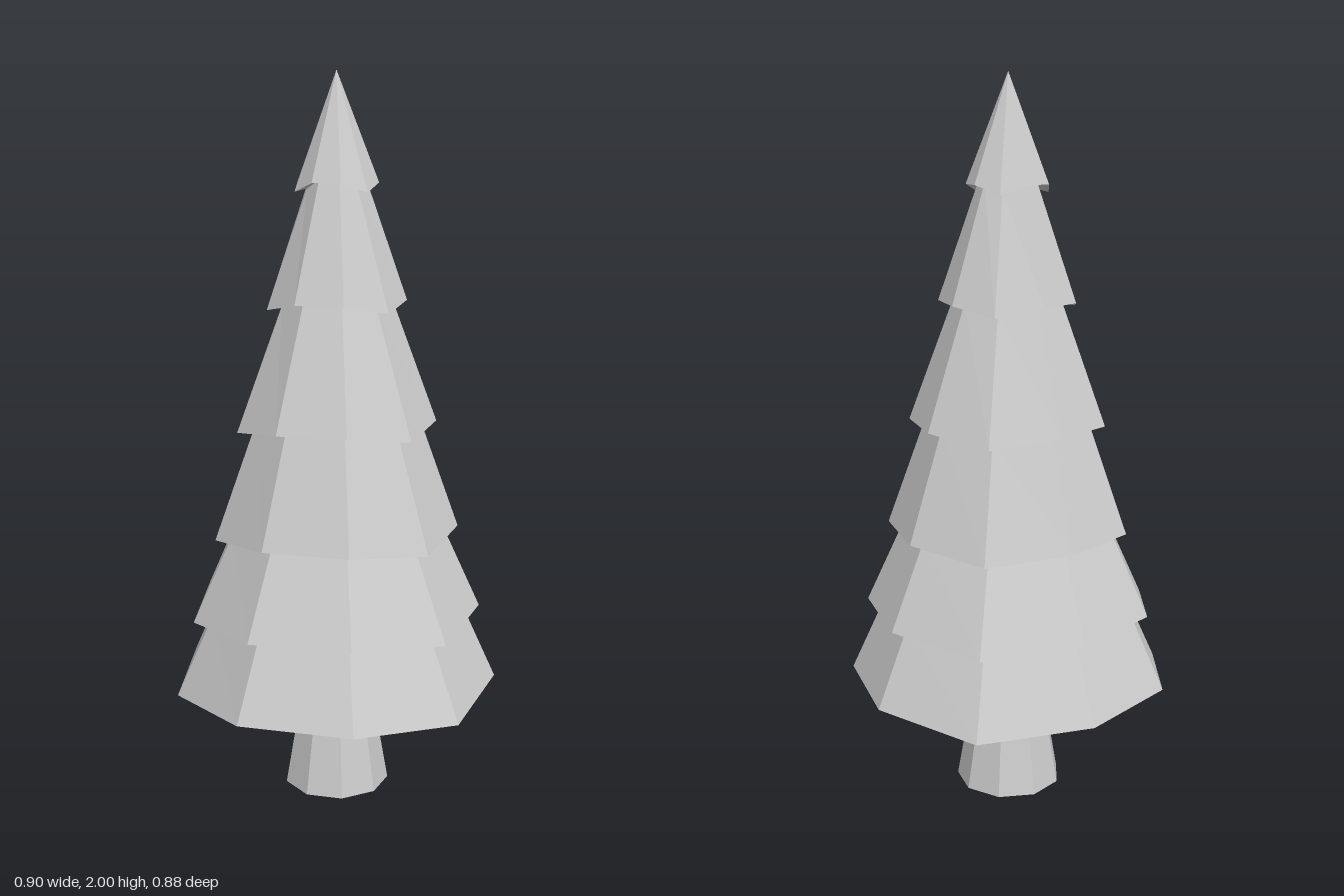
import * as THREE from 'three';

const SIDES = 9;
// Slight rise and fall of the branch tips, going round from the back
const WAVE = [1, 1, -1, 1, 1, -1, 1, 1, -1];

// Faceted lathe with one corner at the back; each point is [radius, y, wave]
function ring(name, points) {
  const profile = points.map(([r, y]) => new THREE.Vector2(r, y));
  const geometry = new THREE.LatheGeometry(profile, SIDES, Math.PI);
  const position = geometry.attributes.position;
  for (let i = 0; i < position.count; i++) {
    const corner = (SIDES - Math.floor(i / points.length)) % SIDES;
    const wave = points[i % points.length][2] || 0;
    position.setY(i, position.getY(i) + wave * WAVE[corner]);
  }
  geometry.computeVertexNormals();
  const material = new THREE.MeshStandardMaterial({
    color: 0xcccccc, flatShading: true, side: THREE.DoubleSide,
  });
  const mesh = new THREE.Mesh(geometry, material);
  mesh.name = name;
  return mesh;
}

export function createModel() {
  const tree = new THREE.Group();
  tree.name = 'pineTree';

  // Trunk: flared foot, narrow waist, widening into the branches
  const trunk = ring('trunk', [[0.15, 0], [0.11, 0.23], [0.135, 0.42]]);
  trunk.position.x = -0.006;
  tree.add(trunk);

  // Foliage tiers: rim radius, rim height, then the tucked-in top of that tier
  const tiers = [
    [0.456, 0.32, 0.355, 0.54],
    [0.407, 0.53, 0.295, 0.772],
    [0.342, 0.762, 0.23, 1.07],
    [0.277, 1.06, 0.15, 1.398],
    [0.192, 1.39, 0.08, 1.708],
    [0.114, 1.7, 0, 2],
  ];
  // Hollow underside leads from the trunk out to the lowest rim
  const profile = [[0.135, 0.42], [0.37, 0.42, 0.01]];
  tiers.forEach(([rimR, rimY, topR, topY]) => {
    profile.push([rimR, rimY, 0.012], [topR, topY, topR ? 0.012 : 0]);
  });
  const foliage = ring('foliage', profile);
  foliage.position.z = 0.01;
  foliage.rotation.z = -0.005; // slight lean
  tree.add(foliage);

  return tree;
}
